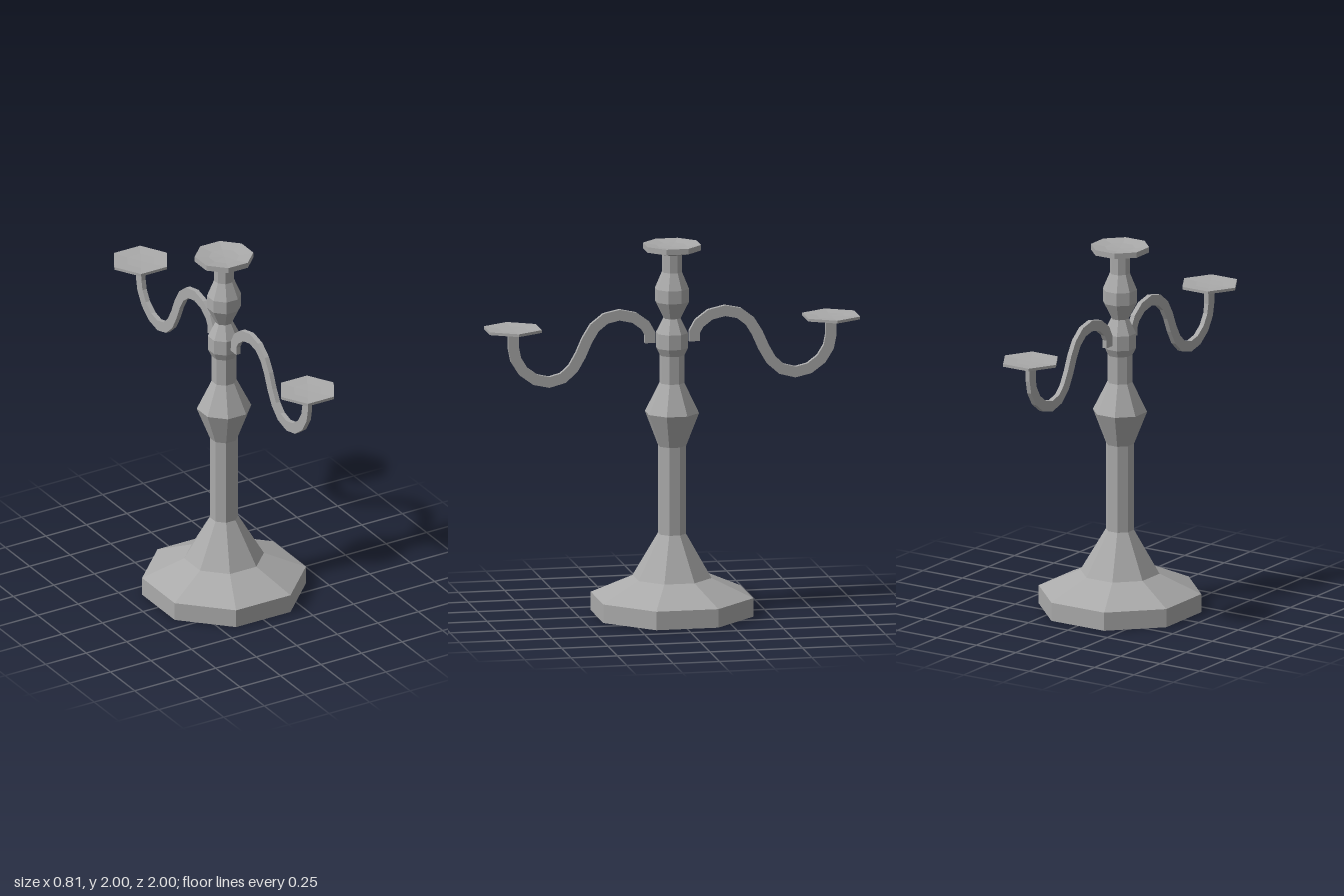
import * as THREE from 'three';

const metal = new THREE.MeshStandardMaterial({ color: 0xaaaaaa });
metal.name = 'grey metal';

// Faceted mesh: every face keeps its own normal
function facetedMesh(name, geometry) {
  const flat = geometry.index ? geometry.toNonIndexed() : geometry;
  flat.computeVertexNormals();
  const mesh = new THREE.Mesh(flat, metal);
  mesh.name = name;
  return mesh;
}

// Turned part; profile is [half width across flats, height] from bottom to top
function turned(name, profile, sides, startAngle) {
  const k = 1 / Math.cos(Math.PI / sides);
  const points = profile.map(([r, y]) => new THREE.Vector2(r * k, y));
  return facetedMesh(name, new THREE.LatheGeometry(points, sides, startAngle));
}

// Flat S-shaped bar: offset a centre line to both sides and extrude it
function armGeometry(path, width, thickness) {
  const pts = path.map(([z, y]) => new THREE.Vector2(z, y));
  const left = [], right = [];
  pts.forEach((p, i) => {
    const a = pts[Math.max(i - 1, 0)], b = pts[Math.min(i + 1, pts.length - 1)];
    const t = b.clone().sub(a).normalize();
    const n = new THREE.Vector2(-t.y, t.x).multiplyScalar(width / 2);
    left.push(p.clone().add(n));
    right.push(p.clone().sub(n));
  });
  const shape = new THREE.Shape([...right, ...left.reverse()]);
  const geometry = new THREE.ExtrudeGeometry(shape, { depth: thickness, bevelEnabled: false });
  geometry.translate(0, 0, -thickness / 2);
  geometry.rotateY(-Math.PI / 2);
  return geometry;
}

export function createModel() {
  const model = new THREE.Group();
  model.name = 'candelabra';
  const octagon = Math.PI / 8;

  // Octagonal foot, stem and top cup
  model.add(turned('base', [[0, 0], [0.405, 0], [0.405, 0.1], [0.197, 0.2], [0.07, 0.435]], 8, octagon));
  model.add(turned('stem', [
    [0.07, 0.435], [0.07, 0.91], [0.135, 1.09], [0.062, 1.25], [0.062, 1.4],
    [0.08, 1.44], [0.08, 1.52], [0.043, 1.6], [0.085, 1.69], [0.085, 1.76],
    [0.05, 1.85], [0.05, 1.945],
  ], 8, octagon));
  model.add(turned('topCup', [
    [0.05, 1.945], [0.145, 1.97], [0.145, 2], [0.075, 1.99], [0, 1.987],
  ], 8, octagon));

  // Two mirrored arms with hexagonal drip plates
  const path = [
    [0.12, 1.47], [0.12, 1.52], [0.145, 1.565], [0.205, 1.61], [0.285, 1.628],
    [0.36, 1.612], [0.42, 1.565], [0.46, 1.5], [0.495, 1.42], [0.535, 1.35],
    [0.59, 1.3], [0.665, 1.28], [0.74, 1.297], [0.805, 1.345], [0.845, 1.41],
    [0.857, 1.47], [0.857, 1.56],
  ];
  for (const [side, angle] of [['front', 0], ['back', Math.PI]]) {
    const branch = new THREE.Group();
    branch.name = side + 'Branch';
    branch.add(facetedMesh(side + 'Arm', armGeometry(path, 0.058, 0.026)));
    const plate = turned(side + 'DripPlate', [
      [0, 1.55], [0.04, 1.55], [0.14, 1.565], [0.14, 1.58], [0.07, 1.574], [0, 1.572],
    ], 6, Math.PI / 2);
    plate.position.z = 0.86;
    branch.add(plate);
    branch.rotation.y = angle;
    model.add(branch);
  }
  return model;
}
